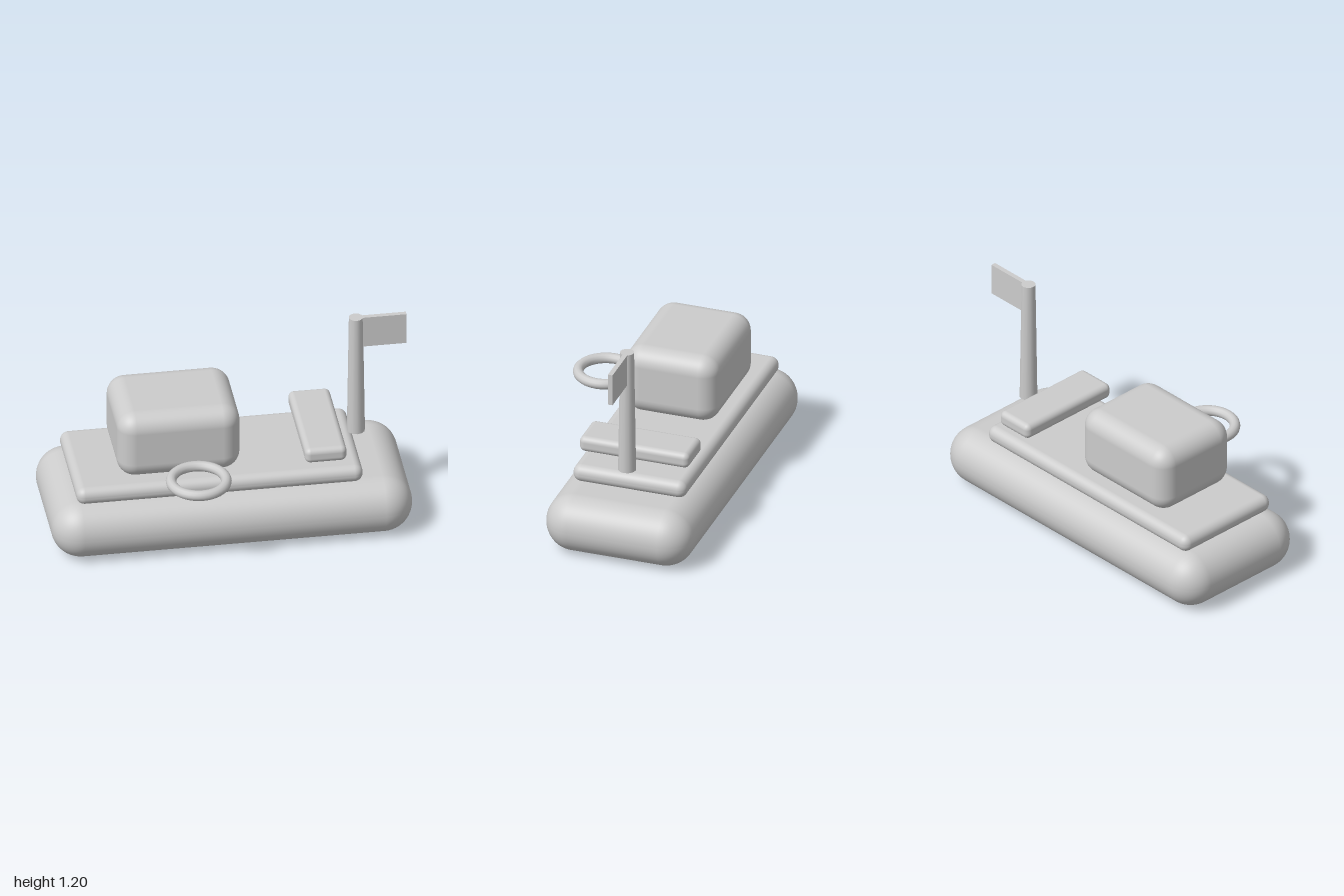
import * as THREE from 'three';
import { RoundedBoxGeometry } from 'three/addons/geometries/RoundedBoxGeometry.js';

export function createModel() {
  const boat = new THREE.Group();
  boat.name = 'boat';
  const grey = new THREE.MeshStandardMaterial({ color: 0xcccccc });
  grey.name = 'light grey';

  const add = (name, geometry, x, y, z) => {
    const mesh = new THREE.Mesh(geometry, grey);
    mesh.name = name;
    mesh.position.set(x, y, z);
    boat.add(mesh);
    return mesh;
  };

  // Rounded block given by its limits on each axis
  const block = (name, [x0, x1], [y0, y1], [z0, z1], radius) =>
    add(name, new RoundedBoxGeometry(x1 - x0, y1 - y0, z1 - z0, 6, radius),
      (x0 + x1) / 2, (y0 + y1) / 2, (z0 + z1) / 2);

  // Stacked body
  block('hull', [-1, 0.99], [0, 0.33], [-0.535, 0.312], 0.163);
  block('deck', [-0.865, 0.715], [0.33, 0.43], [-0.438, 0.217], 0.047);
  block('cabin', [-0.625, 0.052], [0.43, 0.825], [-0.378, 0.16], 0.1);
  block('bench', [0.395, 0.625], [0.475, 0.565], [-0.427, 0.207], 0.032);

  // Tapered mast with a flag at its top
  add('mast', new THREE.CylinderGeometry(0.039, 0.05, 0.725, 12), 0.722, 0.8375, -0.108);
  add('flag', new THREE.BoxGeometry(0.26, 0.185, 0.027), 0.87, 1.1075, -0.108);

  // Lifebuoy lying flat beside the cabin
  const ring = add('lifebuoy', new THREE.TorusGeometry(0.151, 0.029, 12, 40), -0.216, 0.52, 0.345);
  ring.rotation.x = Math.PI / 2;

  return boat;
}
